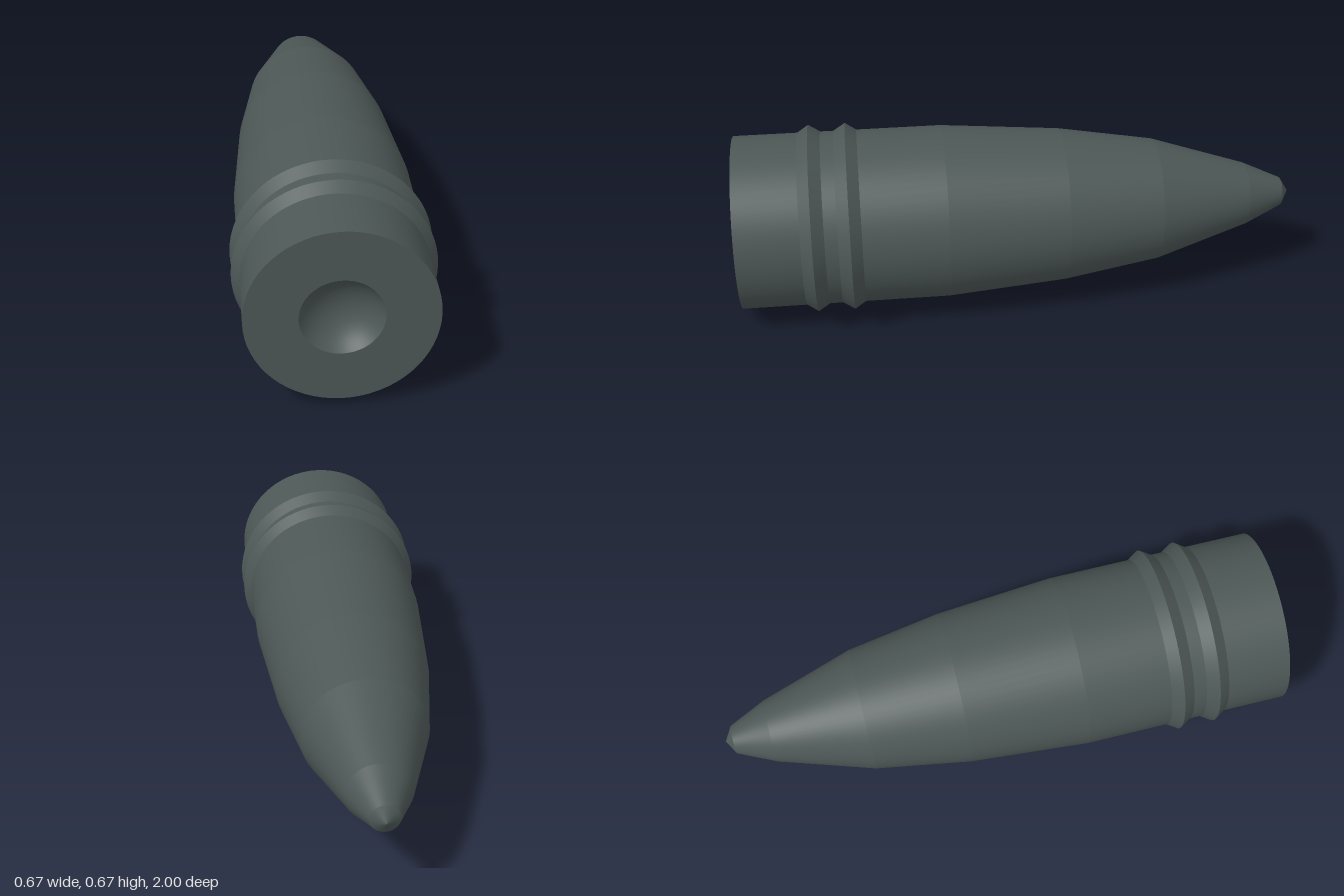
import * as THREE from 'three';

const SEGMENTS = 64;
const RADIUS = 0.308;
const RING = 0.334;

export function createModel() {
  const metal = new THREE.MeshStandardMaterial({ color: 0x4d5856 });
  metal.name = 'dark grey metal';

  const model = new THREE.Group();
  model.name = 'projectile';

  // Turned parts share one axis: profiles are [radius, z] from the base (+z) to the tip (-z)
  const turned = (name, profile) => {
    const points = profile.map(([r, z]) => new THREE.Vector2(r, -z));
    const mesh = new THREE.Mesh(new THREE.LatheGeometry(points, SEGMENTS), metal);
    mesh.name = name;
    mesh.rotation.x = -Math.PI / 2;
    mesh.position.y = RING;
    model.add(mesh);
  };

  // Each band is turned on its own so the steps between bands stay crisp
  const bands = (name, profile) => {
    for (let i = 0; i + 1 < profile.length; i++) {
      turned(`${name}${i + 1}`, [profile[i], profile[i + 1]]);
    }
  };

  // Shallow spherical dish in the base
  const dishRadius = 0.135, dishDepth = 0.07;
  const sphere = (dishRadius ** 2 + dishDepth ** 2) / (2 * dishDepth);
  const sweep = Math.asin(dishRadius / sphere);
  const dish = [];
  for (let i = 0; i <= 12; i++) {
    const a = (sweep * i) / 12;
    dish.push([sphere * Math.sin(a), 1 - dishDepth + sphere * (1 - Math.cos(a))]);
  }
  turned('baseDish', dish);
  turned('baseFace', [[dishRadius, 1], [RADIUS, 1]]);

  // Straight body with two raised driving rings
  turned('rearBody', [[RADIUS, 1], [RADIUS, 0.775]]);
  bands('rearRing', [[RADIUS, 0.775], [RING, 0.735], [RADIUS, 0.693]]);
  turned('ringGap', [[RADIUS, 0.693], [RADIUS, 0.647]]);
  bands('frontRing', [[RADIUS, 0.647], [RING, 0.605], [RADIUS, 0.565]]);
  turned('midBody', [[RADIUS, 0.565], [RADIUS, 0.265]]);

  // Tapering nose and blunt tip
  bands('nose', [[RADIUS, 0.265], [0.274, -0.16], [0.219, -0.5], [0.113, -0.835], [0.051, -0.97]]);
  turned('tip', [[0.051, -0.97], [0, -1]]);

  return model;
}
